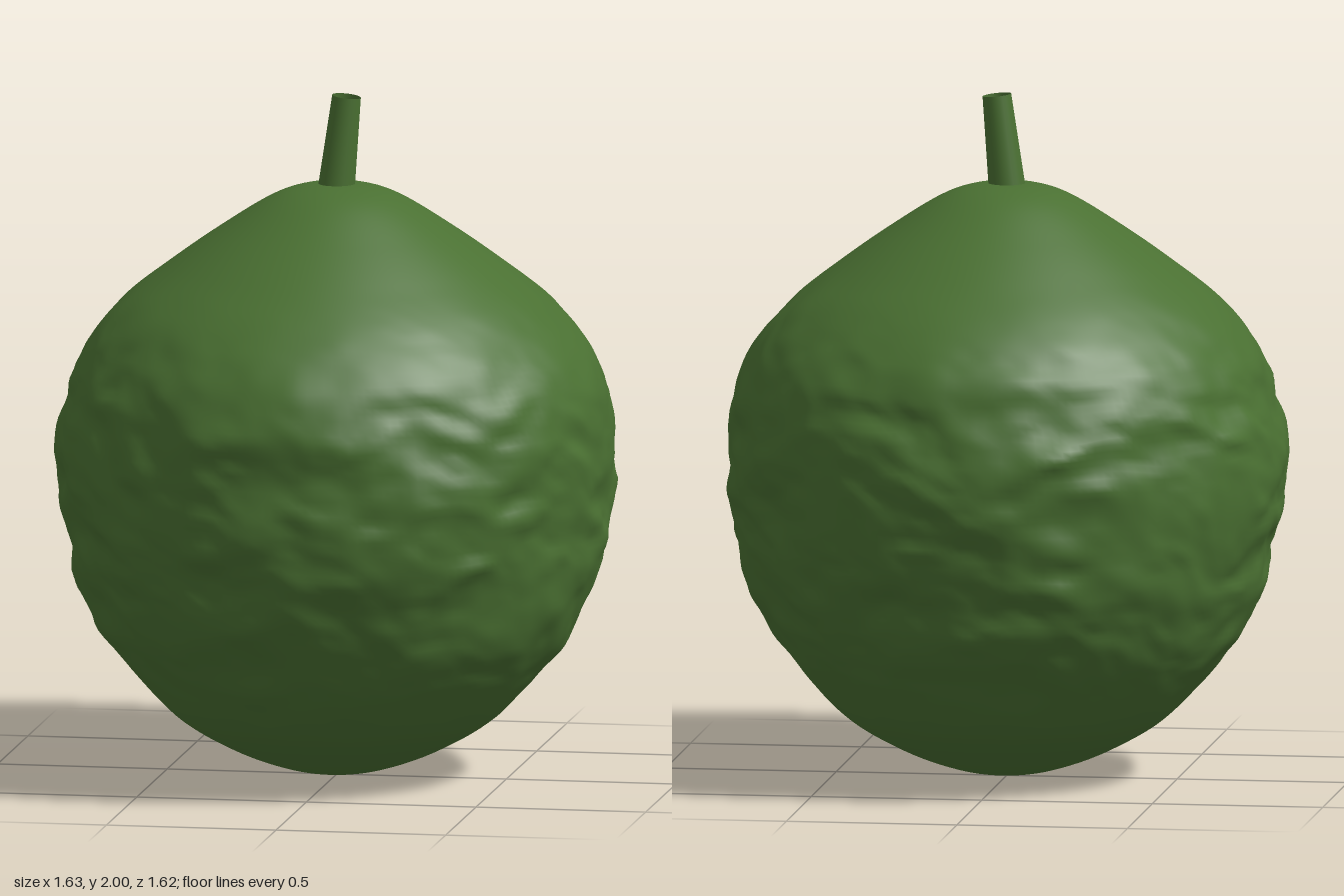
import * as THREE from 'three';
import { mergeVertices } from 'three/addons/utils/BufferGeometryUtils.js';

// Seeded value noise in 3D, about -1 to 1
function hash(x, y, z) {
  let h = (x * 374761393 + y * 668265263 + z * 1274126177) | 0;
  h = Math.imul(h ^ (h >>> 13), 1274126177);
  return ((h ^ (h >>> 16)) >>> 0) / 2147483648 - 1;
}
function noise(x, y, z) {
  const ix = Math.floor(x), iy = Math.floor(y), iz = Math.floor(z);
  const s = (t) => t * t * (3 - 2 * t);
  const u = s(x - ix), v = s(y - iy), w = s(z - iz);
  const L = THREE.MathUtils.lerp;
  const row = (j, k) => L(hash(ix, iy + j, iz + k), hash(ix + 1, iy + j, iz + k), u);
  return L(L(row(0, 0), row(1, 0), v), L(row(0, 1), row(1, 1), v), w);
}

// Rounded body with a tapered shoulder, roughened around its middle
function fruitGeometry() {
  const profile = new THREE.SplineCurve([
    [0, 0], [0.15, 0.025], [0.32, 0.09], [0.49, 0.2], [0.66, 0.4], [0.755, 0.6],
    [0.797, 0.8], [0.8, 1.0], [0.76, 1.2], [0.705, 1.3], [0.615, 1.4], [0.49, 1.5],
    [0.35, 1.6], [0.2, 1.695], [0.1, 1.732], [0, 1.74],
  ].map(([x, y]) => new THREE.Vector2(x, y)));
  const points = profile.getSpacedPoints(130);
  points[0].x = points[130].x = 0;
  let geometry = new THREE.LatheGeometry(points, 200);
  geometry.deleteAttribute('uv');
  geometry.deleteAttribute('normal');
  geometry = mergeVertices(geometry, 1e-4);

  const p = geometry.attributes.position;
  const v = new THREE.Vector3();
  const { smoothstep } = THREE.MathUtils;
  for (let i = 0; i < p.count; i++) {
    v.fromBufferAttribute(p, i);
    const { x, y, z } = v;
    const rough = smoothstep(y, 0.05, 0.6) * (1 - smoothstep(y, 1.05, 1.55));
    // Wide ridges, stretched sideways and warped, then finer wrinkles
    const warp = noise(x * 3, y * 3, z * 3) * 0.7;
    const bump = 0.017 * noise(x * 4 + 9, y * 7 + warp, z * 4)
      + 0.013 * noise(x * 8, y * 15 + warp * 2, z * 8 + 5)
      + 0.005 * noise(x * 17, y * 28 + warp * 3, z * 17);
    const out = 1 + (rough * bump) / 0.8;
    p.setXYZ(i, x * out, y + rough * 0.012 * noise(x * 7, y * 9 + 20, z * 7), z * out);
  }
  geometry.computeVertexNormals();
  return geometry;
}

export function createModel() {
  const model = new THREE.Group();
  model.name = 'fruit';
  const green = new THREE.MeshStandardMaterial({ color: 0x4a7032, side: THREE.DoubleSide });
  green.name = 'leaf green';

  const body = new THREE.Mesh(fruitGeometry(), green);
  body.name = 'body';
  model.add(body);

  // Hollow stem leaning to the fruit's left
  const stemGeometry = new THREE.CylinderGeometry(0.042, 0.054, 0.28, 24, 4, true);
  stemGeometry.translate(0, 0.14, 0);
  const stem = new THREE.Mesh(stemGeometry, green);
  stem.name = 'stem';
  stem.position.set(-0.002, 1.717, 0);
  stem.rotation.z = -0.11;
  model.add(stem);

  return model;
}
